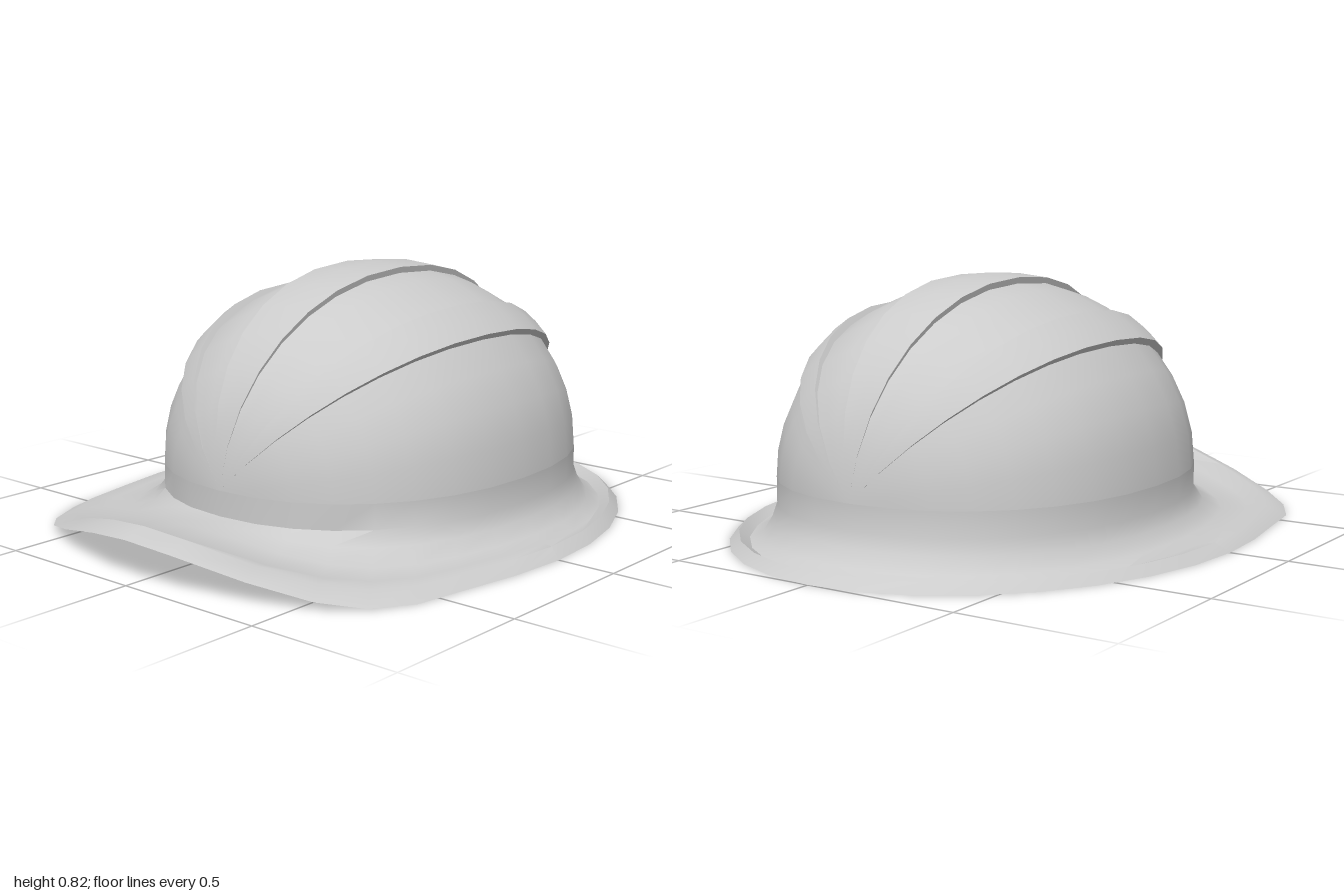
import * as THREE from 'three';
import { toCreasedNormals } from 'three/addons/utils/BufferGeometryUtils.js';

const HALF = 16;          // segments from the front to the back of the shell
const POLE_Y = 0.2;       // height at which the ridges meet, front and back
const material = new THREE.MeshStandardMaterial({ color: 0xcccccc, side: THREE.DoubleSide });

// Slightly squared half-oval: t = 0 at the front, PI at the back
const soft = v => Math.sign(v) * Math.pow(Math.abs(v), 0.91);
const station = k => {
  const t = Math.PI * k / HALF;
  return { r: k % HALF ? soft(Math.sin(t)) : 0, z: -0.1 + 0.72 * soft(Math.cos(t)) };
};

// Skins a grid of rows of [x, y, z] points
function skin(name, rows, crease) {
  const n = rows[0].length, index = [];
  for (let i = 0; i < rows.length - 1; i++) {
    for (let j = 0; j < n - 1; j++) {
      const a = i * n + j, b = a + 1, c = a + n, d = c + 1;
      index.push(a, b, c, b, d, c);
    }
  }
  const geometry = new THREE.BufferGeometry();
  geometry.setAttribute('position', new THREE.Float32BufferAttribute(rows.flat(2), 3));
  geometry.setIndex(index);
  const mesh = new THREE.Mesh(toCreasedNormals(geometry, crease), material);
  mesh.name = name;
  return mesh;
}

// Dome: meridians running from front to back, stepped up at three ridges
function makeDome() {
  const half = [ // [angle in degrees, ridge height]
    [0, 0], [11, 0], [22, 0], [33, 0], [43, 0], [43, 0.03], [49, 0.03], [55, 0.026],
    [55, 0], [63, 0], [72, 0], [79.5, 0], [79.5, 0.02],
  ];
  const section = [...half, [90, 0.02], ...half.map(([a, h]) => [180 - a, h]).reverse()];
  const rows = [];
  for (let k = 0; k <= HALF; k++) {
    const { r, z } = station(k);
    rows.push(section.map(([deg, h]) => {
      const a = THREE.MathUtils.degToRad(deg);
      const R = (0.6 + 0.01 * Math.cos(a) ** 2 + h) * r;
      return [R * Math.cos(a), POLE_Y + R * Math.sin(a), z];
    }));
  }
  return skin('ridgedDome', rows, 0.65);
}

// Brim: wall, flare, rear gutter, rim and underside swept round the outline
function makeBrim() {
  const front = [[0, 1], [0.16, 0.98], [0.38, 0.9], [0.55, 0.81], [0.66, 0.71],
    [0.73, 0.58], [0.76, 0.4], [0.795, 0.2]];
  const lifts = [0.13, 0.115, 0.065, 0.025, 0.005];
  const profile = [ // [share of brim width, height, share of front lift, share of gutter depth]
    [0, POLE_Y, 0, 0], [0, 0.12, 0, 0], [0.1, 0.075, 0.3, 0], [0.3, 0.036, 0.6, 0.4],
    [0.58, 0.03, 0.65, 1], [0.8, 0.03, 1, 0], [1, 0, 1.05, 0], [0.76, 0, 0.85, 0],
    [0.58, 0.03, 0.65, 1],
  ];
  const rows = [];
  for (let i = 0; i <= 2 * HALF; i++) {
    const k = i <= HALF ? i : 2 * HALF - i, side = i <= HALF ? 1 : -1;
    const t = Math.PI * k / HALF;
    const [ox, oz] = front[k] ?? [0.81 * Math.sin(t), Math.cos(t)];
    const { r, z } = station(k);
    const lift = lifts[k] ?? 0;
    const gutter = 0.023 * THREE.MathUtils.clamp((k - 7) / 4, 0, 1);
    rows.push(profile.map(([s, y, l, g]) => [
      side * THREE.MathUtils.lerp(0.61 * r, ox, s),
      y + lift * l - gutter * g,
      THREE.MathUtils.lerp(z, oz, s),
    ]));
  }
  return skin('brim', rows, 0.75);
}

export function createModel() {
  const helmet = new THREE.Group();
  helmet.name = 'hardHat';
  helmet.add(makeDome(), makeBrim());
  return helmet;
}
